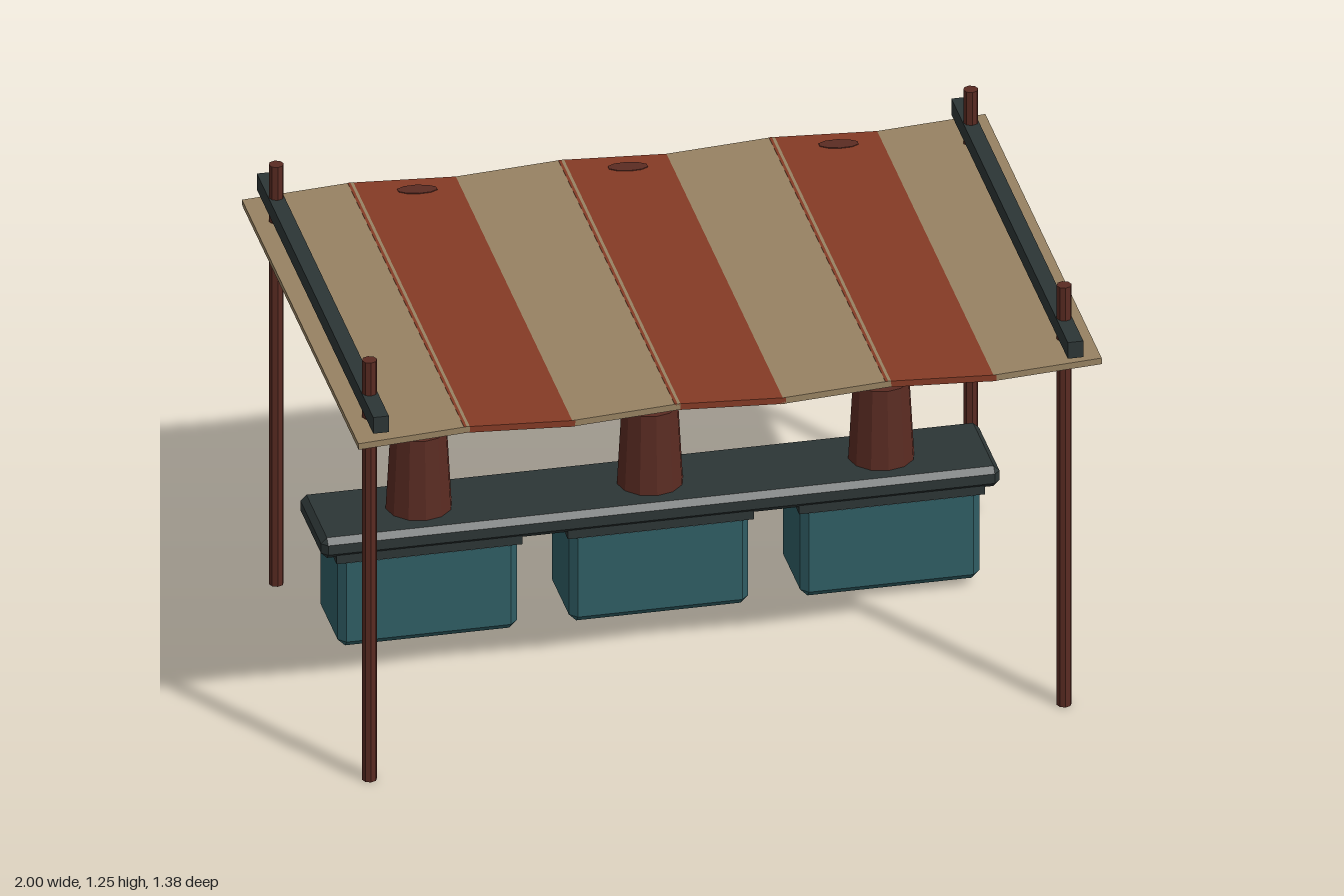
import * as THREE from 'three';
import { ConvexGeometry } from 'three/addons/geometries/ConvexGeometry.js';

const material = (name, color) => {
  const m = new THREE.MeshStandardMaterial({ color, flatShading: true });
  m.name = name;
  return m;
};

// Box with every edge cut at 45 degrees
function chamferBox(w, h, d, c) {
  const points = [];
  for (const x of [-1, 1]) for (const y of [-1, 1]) for (const z of [-1, 1]) {
    const X = w / 2, Y = h / 2, Z = d / 2;
    points.push(
      new THREE.Vector3(x * X, y * (Y - c), z * (Z - c)),
      new THREE.Vector3(x * (X - c), y * Y, z * (Z - c)),
      new THREE.Vector3(x * (X - c), y * (Y - c), z * Z),
    );
  }
  return new ConvexGeometry(points);
}

export function createModel() {
  const group = new THREE.Group();
  const tan = material('tanCloth', 0x988363);
  const red = material('redCloth', 0x843a25);
  const teal = material('tealBin', 0x2f5d64);
  const dark = material('darkMetal', 0x2c3535);
  const brown = material('brownWood', 0x5a2b22);

  const add = (name, geometry, mat, x, y, z, parent = group) => {
    const mesh = new THREE.Mesh(geometry, mat);
    mesh.name = name;
    mesh.position.set(x, y, z);
    parent.add(mesh);
    return mesh;
  };

  const cx = -0.005; // frame and counter sit slightly off the canopy centre

  // Canopy: seven overlapping tilted strips
  const stripGeo = new THREE.BoxGeometry(0.3, 0.018, 1.38);
  const spotGeo = new THREE.CylinderGeometry(0.055, 0.055, 0.022, 10).scale(1, 1, 0.44);
  for (let i = 0; i < 7; i++) {
    const odd = i % 2 === 1;
    const strip = add('canopyStrip', stripGeo, odd ? red : tan, (i - 3) * 0.2833, 1.078, 0);
    strip.rotation.z = odd ? -0.055 : 0.055;
    // Dark patch near the back of each red strip
    if (odd) add('canopyPatch', spotGeo, brown, 0.024, 0, -0.63, strip);
  }

  // Poles and the rails that join them above the canopy
  const poleGeo = new THREE.CylinderGeometry(0.02, 0.02, 1.25, 8);
  const railGeo = new THREE.BoxGeometry(0.042, 0.048, 1.38);
  for (const side of [-1, 1]) {
    const x = cx + side * 0.934;
    add('rail', railGeo, dark, x, 1.128, 0);
    for (const z of [-0.553, 0.553]) add('pole', poleGeo, brown, x, 0.625, z);
  }

  // Counter top
  add('counter', chamferBox(1.825, 0.06, 0.275, 0.016), dark, cx, 0.331, -0.239);

  // Bins with rims below the counter, cups on top
  const binGeo = chamferBox(0.482, 0.275, 0.24, 0.02);
  const rimGeo = new THREE.BoxGeometry(0.5, 0.034, 0.258);
  const cupGeo = new THREE.CylinderGeometry(0.076, 0.089, 0.232, 12);
  for (let i = -1; i <= 1; i++) {
    const x = cx + i * 0.622;
    add('bin', binGeo, teal, x, 0.16, -0.239);
    add('binRim', rimGeo, dark, x, 0.3, -0.239);
    add('cup', cupGeo, brown, x, 0.474, -0.241);
  }
  return group;
}
